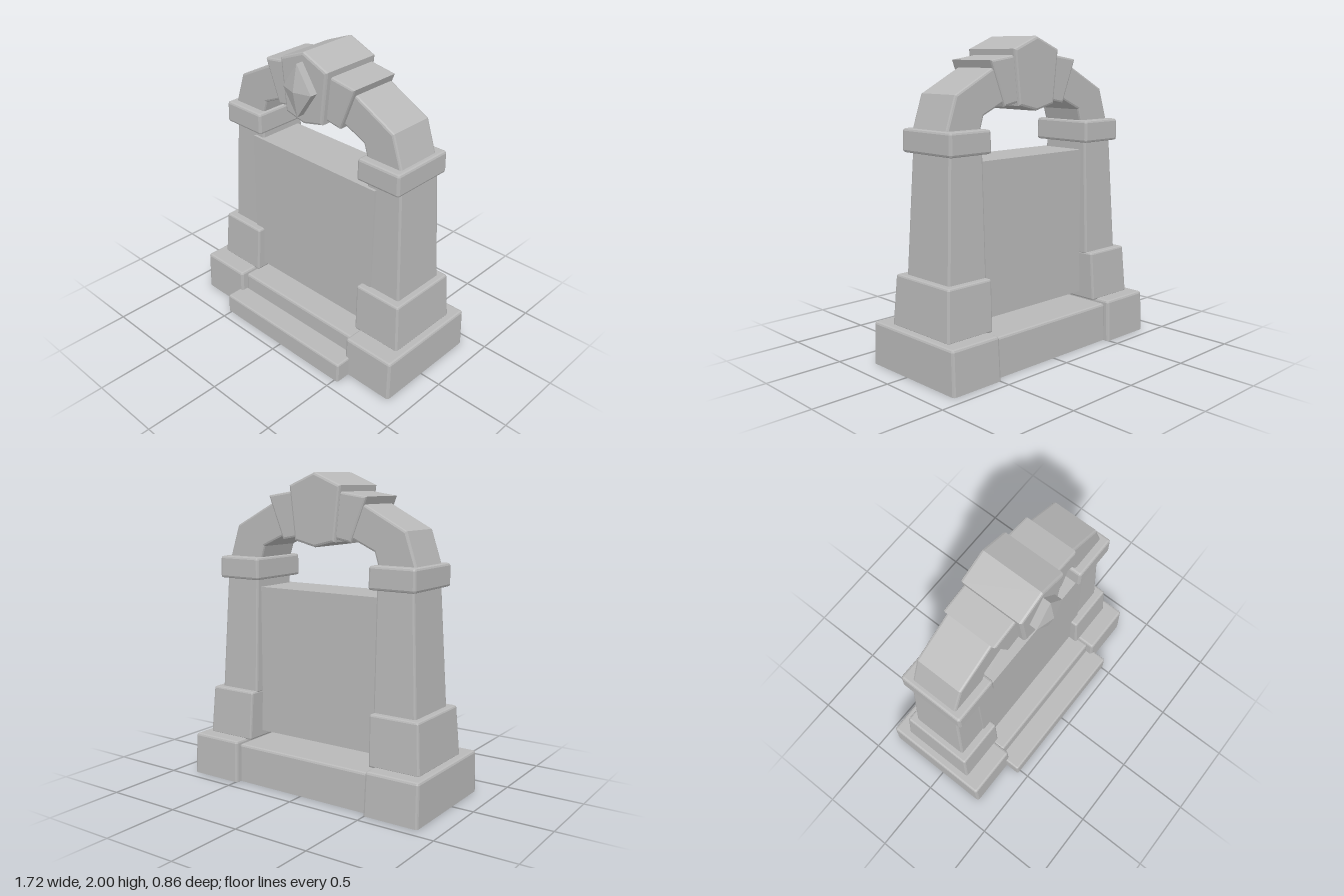
import * as THREE from 'three';

const stone = new THREE.MeshStandardMaterial({ color: 0xb8b8b8, side: THREE.DoubleSide });
stone.name = 'grey stone';

// Tapered block with softened edges; rects are [xMin, xMax, zMin, zMax]
function block(bottom, top, y0, y1, r, openBottom = false) {
  const pos = [];
  const levels = [];
  const insets = [r, r * 0.3, 0];
  const rises = [0, r * 0.3, r];
  if (openBottom || r === 0) levels.push([y0, 0]);
  else insets.forEach((d, i) => levels.push([y0 + rises[i], d]));
  if (r === 0) levels.push([y1, 0]);
  else for (let i = 2; i >= 0; i--) levels.push([y1 - rises[i], insets[i]]);

  const rings = levels.map(([y, d]) => {
    const t = (y - y0) / (y1 - y0);
    const [xa, xb, za, zb] = bottom.map((v, i) => v + (top[i] - v) * t);
    const c = Math.max(r - d, r * 0.3);
    const ring = [];
    [[1, -1], [-1, -1], [-1, 1], [1, 1]].forEach(([sx, sz], q) => {
      const cx = sx > 0 ? xb - d - c : xa + d + c;
      const cz = sz > 0 ? zb - d - c : za + d + c;
      const steps = r === 0 ? 0 : 2;
      for (let k = 0; k <= steps; k++) {
        const a = (q + k / 2) * Math.PI / 2;
        ring.push([cx + c * Math.cos(a), y, cz - c * Math.sin(a)]);
      }
    });
    return ring;
  });

  const tri = (a, b, c) => pos.push(...a, ...b, ...c);
  const n = rings[0].length;
  for (let l = 0; l < rings.length - 1; l++) {
    for (let i = 0; i < n; i++) {
      const j = (i + 1) % n;
      tri(rings[l][i], rings[l][j], rings[l + 1][j]);
      tri(rings[l][i], rings[l + 1][j], rings[l + 1][i]);
    }
  }
  const last = rings[rings.length - 1];
  for (let i = 1; i < n - 1; i++) {
    tri(last[0], last[i], last[i + 1]);
    if (!openBottom) tri(rings[0][0], rings[0][i + 1], rings[0][i]);
  }
  const g = new THREE.BufferGeometry();
  g.setAttribute('position', new THREE.Float32BufferAttribute(pos, 3));
  g.computeVertexNormals();
  return g;
}

// Front outline extruded from zBack to zFront with a small bevel inside the outline
function slab(points, zBack, zFront, b = 0.014) {
  const shape = new THREE.Shape(points.map(([x, y]) => new THREE.Vector2(x, y)));
  const g = new THREE.ExtrudeGeometry(shape, {
    depth: zFront - zBack - 2 * b, bevelEnabled: true, bevelThickness: b,
    bevelSize: b, bevelOffset: -b, bevelSegments: 2, steps: 1,
  });
  g.translate(0, 0, zBack + b);
  return g;
}

export function createModel() {
  const model = new THREE.Group();
  model.name = 'stone gateway';
  const add = (name, geometry, parent = model) => {
    const mesh = new THREE.Mesh(geometry, stone);
    mesh.name = name;
    parent.add(mesh);
    return mesh;
  };

  // Steps, hollow underneath
  add('threshold', block([-0.5, 0.5, -0.39, 0.285], [-0.5, 0.5, -0.385, 0.275], 0, 0.25, 0.015, true));
  add('frontStep', block([-0.527, 0.527, 0.27, 0.432], [-0.527, 0.527, 0.27, 0.428], 0, 0.132, 0.012, true));

  // Panel filling the doorway
  add('doorPanel', block([-0.523, 0.523, -0.2, 0.142], [-0.523, 0.523, -0.2, 0.128], 0.305, 1.27, 0));

  // Pillars and the two sides of the arch
  for (const s of [-1, 1]) {
    const side = new THREE.Group();
    side.name = s > 0 ? 'leftSide' : 'rightSide';
    model.add(side);
    const rect = ([a, b, c, d]) => (s > 0 ? [a, b, c, d] : [-b, -a, c, d]);
    const part = (name, lo, hi, y0, y1, r, open) =>
      add(name, block(rect(lo), rect(hi), y0, y1, r, open), side);
    part('pillarBase', [0.49, 0.858, -0.43, 0.33], [0.495, 0.855, -0.418, 0.322], 0, 0.272, 0.015, true);
    part('plinth', [0.458, 0.804, -0.322, 0.2], [0.45, 0.783, -0.305, 0.183], 0.262, 0.585, 0.012);
    part('pillarShaft', [0.45, 0.742, -0.26, 0.13], [0.45, 0.702, -0.233, 0.107], 0.57, 1.33, 0.012);
    part('capital', [0.415, 0.732, -0.275, 0.167], [0.418, 0.73, -0.272, 0.165], 1.32, 1.463, 0.015);

    const flip = (pts) => pts.map(([x, y]) => [s * x, y]);
    add('archLeg', slab(flip([
      [0.705, 1.44], [0.63, 1.665], [0.34, 1.815], [0.2, 1.82],
      [0.17, 1.61], [0.27, 1.6], [0.415, 1.535], [0.445, 1.44],
    ]), -0.207, 0.11), side);
    add('archStone', slab(flip([
      [0.365, 1.857], [0.15, 1.89], [0.1, 1.61], [0.255, 1.582],
    ]), -0.217, 0.143), side);
  }

  // Keystone
  add('keystone', slab([
    [0, 2], [0.19, 1.922], [0.15, 1.583], [0, 1.547], [-0.15, 1.583], [-0.19, 1.922],
  ], -0.235, 0.185, 0.016));

  // Diamond gem: short straight rim and a low pyramid
  const gem = new THREE.Group();
  gem.name = 'gem';
  gem.position.set(0, 1.776, 0);
  model.add(gem);
  const rim = new THREE.CylinderGeometry(1, 1, 0.065, 4, 1, true).toNonIndexed();
  const point = new THREE.ConeGeometry(1, 0.033, 4, 1, true).toNonIndexed();
  [[rim, 0.2025, 'gemRim'], [point, 0.2515, 'gemPoint']].forEach(([g, z, name]) => {
    g.rotateX(Math.PI / 2).scale(0.115, 0.168, 1).translate(0, 0, z);
    g.computeVertexNormals();
    add(name, g, gem);
  });

  return model;
}
